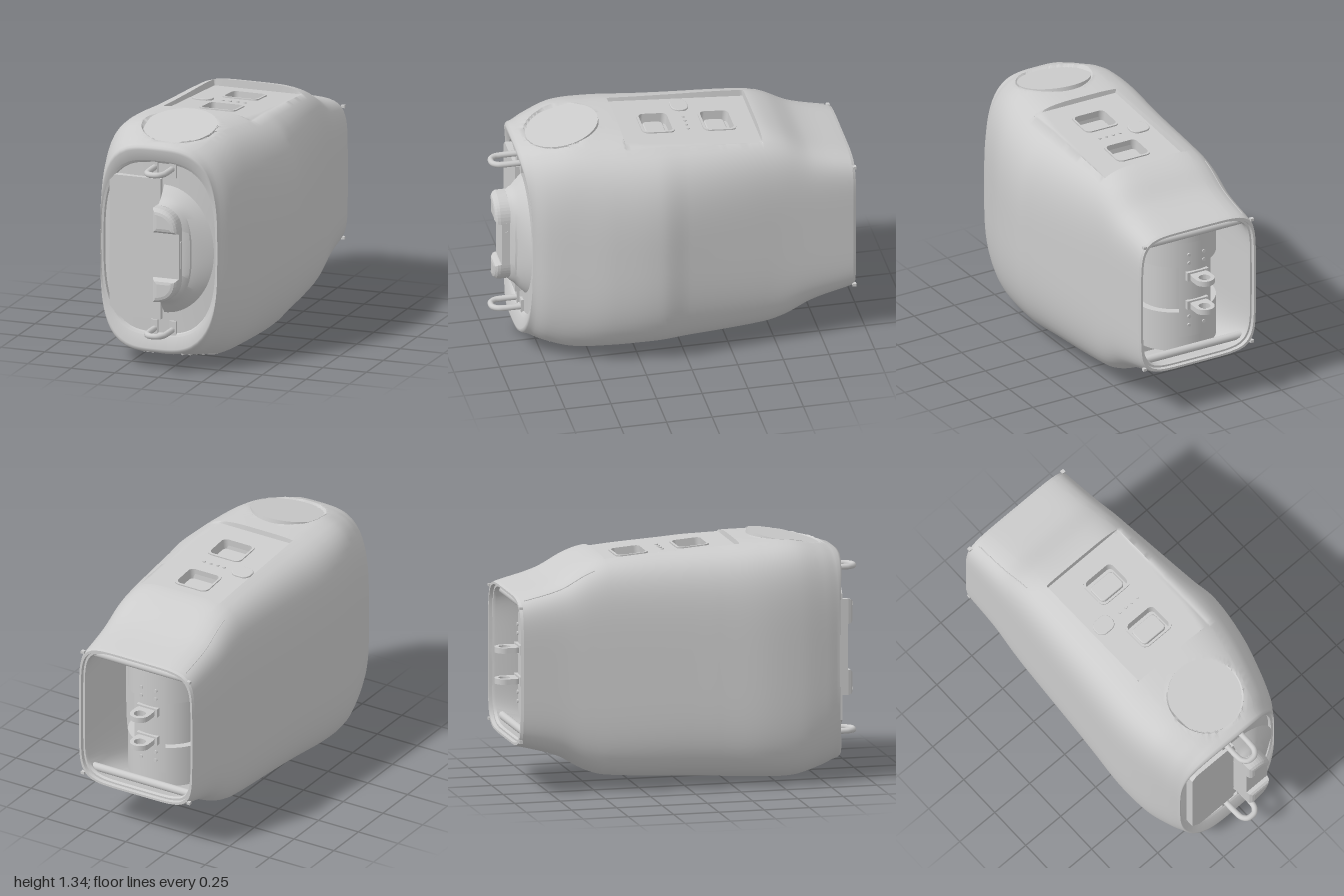
import * as THREE from 'three';
import { toCreasedNormals } from 'three/addons/utils/BufferGeometryUtils.js';

const YC = 0.675;
const mat = new THREE.MeshStandardMaterial({ color: 0xcccccc, side: THREE.DoubleSide });

function add(parent, name, geo, x = 0, y = 0, z = 0) {
  const m = new THREE.Mesh(geo, mat);
  m.name = name;
  m.position.set(x, y, z);
  parent.add(m);
  return m;
}

// Skin a list of equal-length point rings
function loft(rings, closed = true, crease = 0.55) {
  const n = rings[0].length, pos = [], idx = [];
  rings.forEach(r => r.forEach(p => pos.push(...p)));
  for (let i = 0; i < rings.length - 1; i++)
    for (let k = 0; k < (closed ? n : n - 1); k++) {
      const a = i * n + k, b = i * n + (k + 1) % n;
      idx.push(a, b, b + n, a, b + n, a + n);
    }
  const g = new THREE.BufferGeometry();
  g.setAttribute('position', new THREE.Float32BufferAttribute(pos, 3));
  g.setIndex(idx);
  return toCreasedNormals(g, crease);
}

// Body stations: z, left x, right x, half height, squareness of the -x and +x halves
const stations = [
  [-0.92, -0.385, 0.34, 0.412, 6, 6], [-0.7, -0.39, 0.358, 0.478, 5.4, 5.2], [-0.55, -0.4, 0.372, 0.562, 5, 4.5],
  [-0.44, -0.408, 0.385, 0.597, 4.8, 4], [0, -0.44, 0.443, 0.625, 4.5, 3.4], [0.15, -0.452, 0.468, 0.633, 4.5, 3.2],
  [0.4, -0.47, 0.432, 0.645, 4.5, 3.3], [0.6, -0.457, 0.37, 0.645, 4.4, 3.5], [0.75, -0.425, 0.315, 0.608, 3.9, 3.4],
  [0.82, -0.403, 0.27, 0.583, 3.5, 3.3],
];
const sec = (xl, xr, h, n, nr = n) => ({ xc: (xl + xr) / 2, w: (xr - xl) / 2, h, n, nr });
function section(z) {
  let i = 0;
  while (i < stations.length - 2 && z > stations[i + 1][0]) i++;
  const S = j => stations[Math.max(0, Math.min(stations.length - 1, j))];
  const a = S(i), b = S(i + 1), d = b[0] - a[0], t = (z - a[0]) / d;
  const v = [1, 2, 3, 4, 5].map(c => {
    const ma = (b[c] - S(i - 1)[c]) / (b[0] - S(i - 1)[0]) * d;
    const mb = (S(i + 2)[c] - a[c]) / (S(i + 2)[0] - a[0]) * d;
    return (2 * t ** 3 - 3 * t * t + 1) * a[c] + (t ** 3 - 2 * t * t + t) * ma
      + (3 * t * t - 2 * t ** 3) * b[c] + (t ** 3 - t * t) * mb;
  });
  return sec(...v);
}

// Column positions across the top, with pairs at the sharp recess edges
const xs = [0.268, 0.263, -0.237, -0.242, -0.085, -0.08, 0.105, 0.11];
for (let x = -0.225; x < 0.26; x += 0.0165) xs.push(x);
xs.sort((a, b) => b - a);
const zClamp = z => Math.max(-0.44, Math.min(0.305, z));
const spow = (c, e) => Math.sign(c) * Math.abs(c) ** e;

// One cross-section ring, counter-clockwise seen from the front
function ring(P, z, bulge = 0) {
  const Q = section(zClamp(z)), SIDE = 32, ts = [];
  const power = c => (c > 0 ? P.nr : P.n);
  const top = xs.map(x => { const u = (x - Q.xc) / Q.w; return Math.acos(spow(u, power(u) / 2)); });
  const tR = top[0], tL = Math.PI - top[top.length - 1];
  const side = (c, t) => {
    for (let k = 1; k < SIDE; k++) { const s = 2 * k / SIDE - 1; ts.push(c + t * s * Math.abs(s)); }
  };
  side(0, tR);
  ts.push(...top);
  side(Math.PI, tL);
  ts.push(...top.map(t => -t).reverse());
  return ts.map(t => {
    const c = Math.cos(t), s = Math.sin(t), e = 2 / power(c);
    return [P.xc + P.w * spow(c, e), YC + P.h * spow(s, e), z + bulge * s * s];
  });
}

const panelY = z => 1.23 + 0.08 * (z + 0.44);
const discY = z => 1.3 - 0.22 * (z - 0.6);
const pockets = [-0.2425, 0.095];
// Sink the control panel, its pockets and the two round seats
function carve([x, y, z]) {
  if (y > 1 && x > -0.24 && x < 0.265 && z > -0.439 && z < 0.305) {
    y = Math.min(panelY(z), y - 0.005);
    if (x > -0.082 && x < 0.107 && pockets.some(c => Math.abs(z - c) < 0.08)) y -= 0.06;
  }
  const dx = x + 0.03, dz = z - 0.6, r = Math.hypot(dx, dz);
  if (Math.abs(y - YC) > 0.4 && r < 0.22) {
    if (r > 0.195) return [dx * 0.207 / r - 0.03, y, dz * 0.207 / r + 0.6];
    y = y > 1 ? Math.min(y, discY(z) - 0.012) : Math.max(y, 2 * YC - discY(z) + 0.012);
  }
  return [x, y, z];
}

function roundRect(w, h, r, S = THREE.Shape) {
  const s = new S(), a = w / 2, b = h / 2;
  s.absarc(a - r, b - r, r, 0, Math.PI / 2);
  s.absarc(-a + r, b - r, r, Math.PI / 2, Math.PI);
  s.absarc(-a + r, -b + r, r, Math.PI, 1.5 * Math.PI);
  s.absarc(a - r, -b + r, r, 1.5 * Math.PI, 2 * Math.PI);
  return s;
}
const extrude = (s, depth, bevel = 0) => new THREE.ExtrudeGeometry(s, {
  depth, bevelEnabled: bevel > 0, bevelSize: bevel, bevelThickness: bevel, bevelOffset: -bevel, bevelSegments: 3, curveSegments: 12 });

export function createModel() {
  const g = new THREE.Group();

  // Outer shell, rolled over into the front rim
  const zs = [-0.441, -0.437, 0.303, 0.307];
  pockets.forEach(c => zs.push(c - 0.082, c - 0.078, c + 0.078, c + 0.082));
  for (let i = 0; i <= 87; i++) zs.push(-0.92 + i * 0.02);
  zs.sort((a, b) => a - b);
  const shell = zs.map(z => ring(section(z), z).map(carve));
  const rim = sec(-0.4, 0.266, 0.487, 3);
  shell.push(ring(sec(-0.403, 0.269, 0.574, 3.4, 3.3), 0.822, 0.03), ring(sec(-0.403, 0.269, 0.564, 3.3), 0.822, 0.045),
    ring(sec(-0.402, 0.268, 0.55, 3.2), 0.821, 0.048), ring(rim, 0.815, 0.025));
  add(g, 'shell', loft(shell, true, 1.1));

  // Front insert inside the rim
  const inset = (P, d) => ({ ...P, w: P.w - d, h: P.h - d });
  const scaled = (P, s) => ({ ...P, w: P.w * s, h: P.h * s });
  add(g, 'frontInsert', loft([ring(rim, 0.815, 0.025), ring(inset(rim, 0.012), 0.812, 0.02),
    ring(inset(rim, 0.016), 0.795, 0.025), ring(scaled(rim, 0.5), 0.825), ring(scaled(rim, 0), 0.83)]));

  // Hollow rear opening
  const back = section(-0.92);
  add(g, 'rearCavity', loft([ring(scaled(section(-0.5), 0), -0.45), ring(inset(section(-0.5), 0.04), -0.45),
    ring(inset(section(-0.7), 0.035), -0.7), ring(inset(back, 0.035), -0.9), ring(inset(back, 0.03), -0.915),
    ring(inset(back, 0.02), -0.915), ring(inset(back, 0.018), -0.935), ring(inset(back, 0.006), -0.935), ring(back, -0.92)]));

  // Round tilted discs, above and below
  for (const s of [1, -1]) {
    const disc = add(g, 'roundPad', new THREE.CylinderGeometry(0.2, 0.2, 0.03, 64), -0.03, YC + s * 0.61, 0.597);
    disc.rotation.x = s * 0.217;
  }

  // Control panel fittings
  const controls = new THREE.Group();
  controls.name = 'controls';
  controls.position.set(0, panelY(0), 0);
  controls.rotation.x = -0.08;
  g.add(controls);
  for (const c of pockets) {
    const s = roundRect(0.208, 0.182, 0.035);
    s.holes.push(roundRect(0.186, 0.156, 0.028, THREE.Path));
    add(controls, 'buttonFrame', extrude(s, 0.062).rotateX(-Math.PI / 2), 0.0125, -0.055, c);
    add(controls, 'button', extrude(roundRect(0.16, 0.11, 0.025), 0.02, 0.006).rotateX(-Math.PI / 2), 0.0125, -0.06, c);
  }
  const oval = roundRect(0.115, 0.095, 0.042);
  add(controls, 'ovalButton', extrude(oval, 0.008, 0.004).rotateX(-Math.PI / 2), -0.16, -0.002, -0.07);
  for (let i = 0; i < 4; i++)
    add(controls, 'indicator', new THREE.CylinderGeometry(0.009, 0.009, 0.008, 14), -0.045 + i * 0.042, 0.002, -0.07);

  // Seam line along the rear left of the roof
  const seam = [];
  for (let z = -0.9; z <= -0.48; z += 0.03) {
    const P = section(z);
    const y = YC + P.h * (1 - Math.abs((-0.315 - P.xc) / P.w) ** P.n) ** (1 / P.n);
    seam.push(new THREE.Vector3(-0.315, y, z));
  }
  add(g, 'seam', new THREE.TubeGeometry(new THREE.CatmullRomCurve3(seam), 40, 0.003, 6));

  // Flat front panel with clipped outer corners
  const plate = new THREE.Shape([[-0.045, 0.285], [-0.045, 1.065], [-0.31, 1.065], [-0.34, 1.03], [-0.34, 0.34], [-0.29, 0.285]]
    .map(p => new THREE.Vector2(...p)));
  add(g, 'frontPanel', extrude(plate, 0.06), 0, 0, 0.79);

  // Half-round stepped boss beside the panel
  const half = (rx, ry, z, n) => Array.from({ length: 49 }, (_, k) => {
    const t = (k / 48 - 0.5) * Math.PI;
    return [-0.035 + rx * Math.abs(Math.cos(t)) ** (2 / n), YC + ry * spow(Math.sin(t), 2 / n), z];
  });
  add(g, 'stepBoss', loft([half(0.285, 0.355, 0.822, 2), half(0.225, 0.31, 0.86, 2.3), half(0.18, 0.285, 0.88, 2.6),
    half(0.175, 0.28, 0.89, 2.6), half(0.14, 0.262, 0.91, 2.8), half(0, 0.262, 0.91, 2.8)], false));

  // Grip: recessed middle and two raised rounded ends
  add(g, 'gripMiddle', new THREE.BoxGeometry(0.145, 0.26, 0.115), 0.0275, YC, 0.8975);
  add(g, 'gripSlot', extrude(roundRect(0.02, 0.16, 0.01), 0.008).rotateY(Math.PI / 2), 0.095, YC, 0.925);
  for (const s of [1, -1]) {
    const e = new THREE.Shape();
    e.moveTo(-0.045, s * 0.125);
    e.lineTo(0.1, s * 0.125);
    e.bezierCurveTo(0.1, s * 0.215, 0.05, s * 0.262, -0.045, s * 0.262);
    add(g, 'gripEnd', extrude(e, 0.1, 0.03), 0, YC, 0.86);
  }

  // Front wire loops with their anchor plates
  for (const s of [1, -1]) {
    const y = YC + s * 0.448;
    const path = new THREE.CatmullRomCurve3([[-0.05, 0.8], [-0.05, 0.92], [-0.045, 0.955], [-0.025, 0.98], [0, 0.985],
      [0.025, 0.98], [0.045, 0.955], [0.05, 0.92], [0.05, 0.8]].map(([x, z]) => new THREE.Vector3(x - 0.037, y, z)));
    add(g, 'frontLoop', new THREE.TubeGeometry(path, 60, 0.016, 12));
    for (const x of [-0.09, 0.017])
      add(g, 'loopAnchor', new THREE.BoxGeometry(0.04, 0.085, 0.03), x, YC + s * 0.44, 0.82);
  }

  // Rear mechanism: drums, bracket, hinge lugs and bars
  for (const s of [1, -1]) {
    add(g, 'drum', new THREE.CylinderGeometry(0.23, 0.23, 0.23, 48), -0.05, YC + s * 0.25, -0.62);
    const lug = roundRect(0.11, 0.15, 0.054);
    lug.holes.push(new THREE.Path().absarc(0, 0.022, 0.032, 0, Math.PI * 2));
    add(g, 'hingeLug', extrude(lug, 0.03).rotateX(-Math.PI / 2), -0.055, YC + s * 0.085 - 0.015, -0.922);
    add(g, 'lugFoot', new THREE.BoxGeometry(0.13, 0.05, 0.05), -0.055, YC + s * 0.085, -0.85);
    const bar = add(g, 'crossBar', new THREE.CylinderGeometry(0.022, 0.022, 0.6, 16), -0.02, YC + s * 0.345, -0.87);
    bar.rotation.z = Math.PI / 2;
    for (const x of [-0.1, -0.01]) for (const dy of [0.16, 0.21]) {
      const screw = add(g, 'screw', new THREE.CylinderGeometry(0.01, 0.01, 0.02, 12), x, YC + s * dy, -0.853);
      screw.rotation.x = Math.PI / 2;
    }
    for (const x of [-0.355, 0.31])
      add(g, 'cornerTab', new THREE.BoxGeometry(0.02, 0.015, 0.02), x, YC + s * 0.365, -0.93);
  }
  add(g, 'core', new THREE.CylinderGeometry(0.19, 0.19, 0.4, 40), -0.05, YC, -0.62);
  // Bracket plate bowed around the drums
  add(g, 'bracket', new THREE.CylinderGeometry(0.25, 0.25, 0.56, 24, 1, true, Math.PI - 0.4, 0.8), -0.055, YC, -0.61);

  return g;
}
